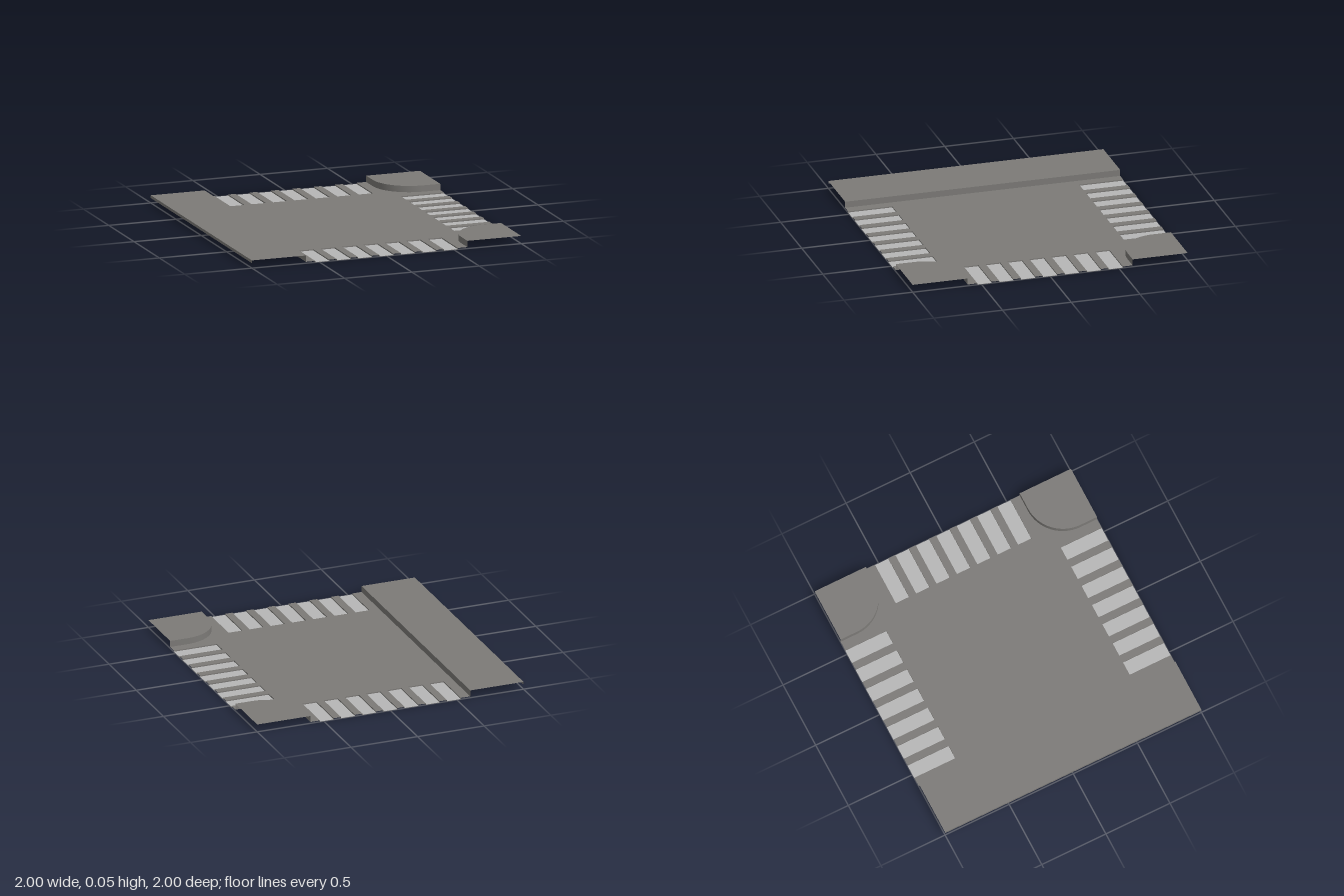
import * as THREE from 'three';

const ROAD_Y = 0.01, CURB_Y = 0.055, KERB_X = 0.6, STRIPE_IN = 0.68, HALF_W = 0.052, STEP = 0.159;

const asphalt = new THREE.MeshStandardMaterial({ color: 0x7c7a77, side: THREE.DoubleSide });
asphalt.name = 'asphalt grey';
const paint = new THREE.MeshStandardMaterial({ color: 0xb6b6b6 });
paint.name = 'stripe light grey';

function add(parent, name, geometry, material) {
  const mesh = new THREE.Mesh(geometry, material);
  mesh.name = name;
  parent.add(mesh);
  return mesh;
}

// Flat horizontal sheet from [x, z] points, facing up
function sheet(points, y) {
  const shape = new THREE.Shape(points.map(([x, z]) => new THREE.Vector2(x, -z)));
  return new THREE.ShapeGeometry(shape).rotateX(-Math.PI / 2).translate(0, y, 0);
}

// Vertical wall following [x, z] points
function ribbon(points, y0, y1) {
  const pos = [], index = [];
  points.forEach(([x, z], i) => {
    pos.push(x, y0, z, x, y1, z);
    if (i) {
      const a = 2 * i - 2;
      index.push(a, a + 2, a + 1, a + 1, a + 2, a + 3);
    }
  });
  const g = new THREE.BufferGeometry();
  g.setAttribute('position', new THREE.Float32BufferAttribute(pos, 3));
  g.setIndex(index);
  g.computeVertexNormals();
  return g;
}

// Rounded kerb line of the front corner, from the left side edge to the front edge
function kerbLine() {
  const c = 0.87, r = c - KERB_X, pts = [[1, KERB_X]];
  for (let i = 0; i <= 16; i++) {
    const a = (i / 16) * Math.PI / 2;
    pts.push([c - r * Math.sin(a), c - r * Math.cos(a)]);
  }
  pts.push([KERB_X, 1]);
  return pts;
}

const mirrorZ = (pts) => pts.map(([x, z]) => [x, -z]);

// One sunken crossing stripe running out to the +z edge
function createStripe(offset) {
  const stripe = new THREE.Group();
  stripe.name = 'crossingStripe';
  const a = offset - HALF_W, b = offset + HALF_W;
  const rect = [[a, STRIPE_IN], [a, 1], [b, 1], [b, STRIPE_IN]];
  add(stripe, 'stripePaint', sheet(rect, 0.002), paint);
  add(stripe, 'stripeBase', sheet(rect, 0), asphalt);
  add(stripe, 'stripeSideA', ribbon([[a, 1], [a, STRIPE_IN]], 0, ROAD_Y), asphalt);
  add(stripe, 'stripeEnd', ribbon([[a, STRIPE_IN], [b, STRIPE_IN]], 0, ROAD_Y), asphalt);
  add(stripe, 'stripeSideB', ribbon([[b, STRIPE_IN], [b, 1]], 0, ROAD_Y), asphalt);
  return stripe;
}

export function createModel() {
  const model = new THREE.Group();
  model.name = 'roadJunctionTile';

  // Road surface: half outline with stripe notches, then mirrored
  const half = [[STRIPE_IN, HALF_W], [1, HALF_W]];
  for (let i = 1; i <= 3; i++) {
    const a = i * STEP - HALF_W, b = i * STEP + HALF_W;
    half.push([1, a], [STRIPE_IN, a], [STRIPE_IN, b], [1, b]);
  }
  half.push(...kerbLine());
  for (let i = 3; i >= -3; i--) {
    const a = i * STEP - HALF_W, b = i * STEP + HALF_W;
    half.push([b, 1], [b, STRIPE_IN], [a, STRIPE_IN], [a, 1]);
  }
  half.push([-KERB_X, 1]);
  add(model, 'roadSurface', sheet([...half, ...mirrorZ(half).reverse()], ROAD_Y), asphalt);

  // Three crossings of seven stripes: front, left side, back
  ['frontCrossing', 'leftCrossing', 'backCrossing'].forEach((name, k) => {
    const crossing = new THREE.Group();
    crossing.name = name;
    for (let i = -3; i <= 3; i++) crossing.add(createStripe(i * STEP));
    crossing.rotation.y = k * Math.PI / 2;
    model.add(crossing);
  });

  // Rounded pavement corners
  const front = kerbLine(), back = mirrorZ(front).reverse();
  add(model, 'frontCornerPavement', sheet([...front, [1, 1]], CURB_Y), asphalt);
  add(model, 'frontCornerKerb', ribbon(front, ROAD_Y, CURB_Y), asphalt);
  add(model, 'backCornerPavement', sheet([...back, [1, -1]], CURB_Y), asphalt);
  add(model, 'backCornerKerb', ribbon(back, ROAD_Y, CURB_Y), asphalt);

  // Straight pavement with its kerb and a narrow outer lip
  add(model, 'straightPavement', sheet([[-1, -1], [-1, 1], [-KERB_X, 1], [-KERB_X, -1]], CURB_Y), asphalt);
  add(model, 'straightKerb', ribbon([[-KERB_X, 1], [-KERB_X, -1]], ROAD_Y, CURB_Y), asphalt);
  add(model, 'outerLip', ribbon([[-1, -1], [-1, 1]], CURB_Y - 0.02, CURB_Y), asphalt);

  return model;
}
